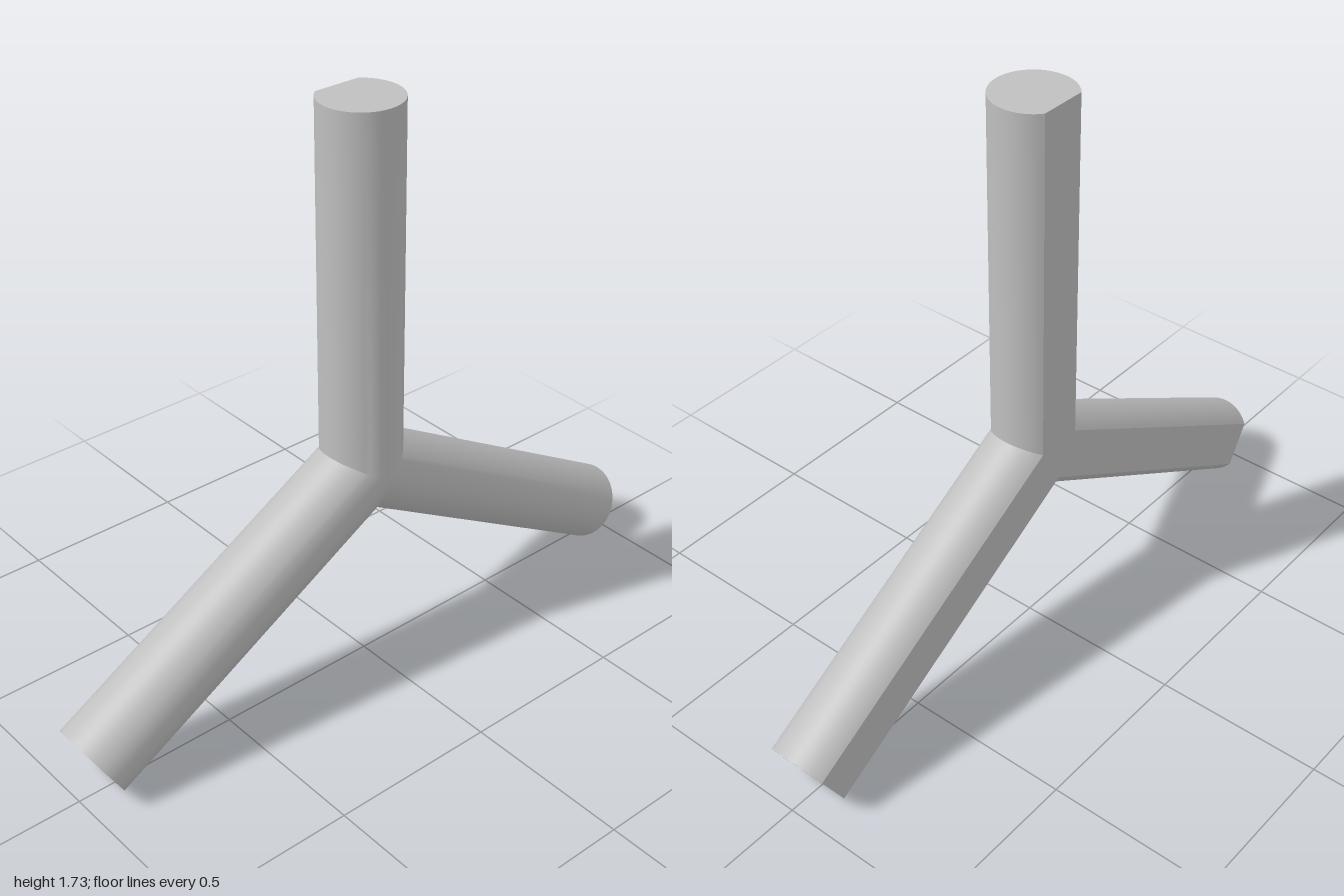
import * as THREE from 'three';
import { mergeGeometries, toCreasedNormals } from 'three/addons/utils/BufferGeometryUtils.js';

const RADIUS = 0.117, LENGTH = 1.088, HUB_Y = 0.645;
const AXIS_X = -0.012, FLAT_X = -0.105;

// Round section with one flat side, as (x, z) points
function section(steps = 48) {
  const limit = Math.PI - Math.acos((AXIS_X - FLAT_X) / RADIUS);
  const points = [];
  for (let i = 0; i <= steps; i++) {
    const a = -limit + (2 * limit * i) / steps;
    points.push([AXIS_X + RADIUS * Math.cos(a), RADIUS * Math.sin(a)]);
  }
  points.push([FLAT_X, 0]); // middle of the flat, where the mitre turns
  return points;
}

// Upright arm: mitred at the hub, capped at the far end
function armGeometry() {
  const ring = section(), n = ring.length;
  const positions = [], index = [];
  for (const [x, z] of ring) {
    positions.push(x, Math.abs(z) / Math.sqrt(3), z);
    positions.push(x, LENGTH, z);
  }
  positions.push(AXIS_X, LENGTH, 0);
  for (let i = 0; i < n; i++) {
    const a = 2 * i, b = 2 * ((i + 1) % n);
    index.push(a, a + 1, b + 1, a, b + 1, b); // side
    index.push(2 * n, b + 1, a + 1); // end cap
  }
  const geometry = new THREE.BufferGeometry();
  geometry.setAttribute('position', new THREE.Float32BufferAttribute(positions, 3));
  geometry.setIndex(index);
  return geometry;
}

export function createModel() {
  const grey = new THREE.MeshStandardMaterial({ color: 0xbfbfbf });
  grey.name = 'grey';

  // Three equal arms, 120 degrees apart
  const arms = [0, 1, 2].map((i) => armGeometry().rotateX((i * 2 * Math.PI) / 3));
  const joint = new THREE.Mesh(toCreasedNormals(mergeGeometries(arms), Math.PI / 6), grey);
  joint.name = 'threeArmJoint';
  joint.position.y = HUB_Y;

  const group = new THREE.Group();
  group.name = 'threeWayRod';
  group.add(joint);
  return group;
}
